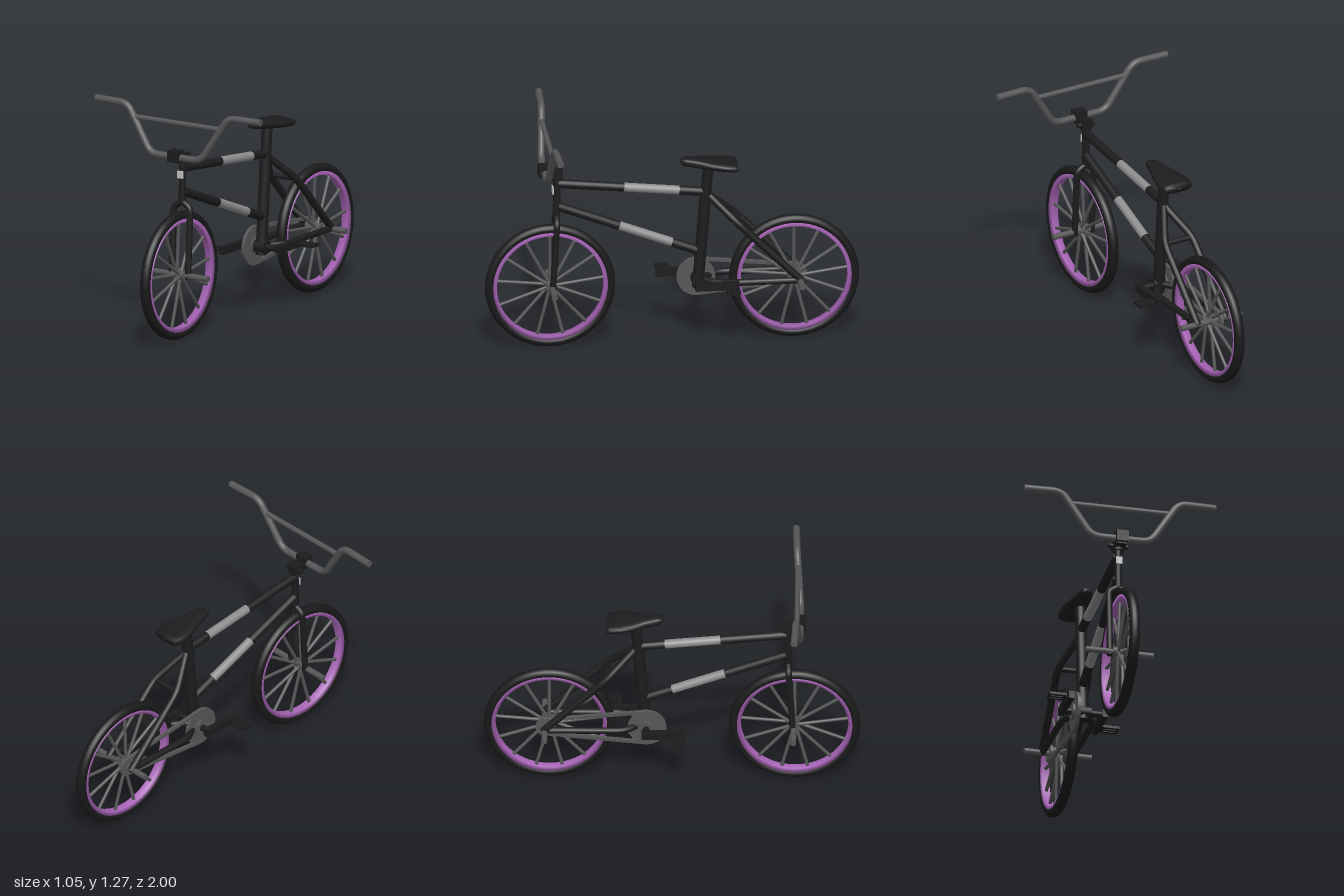
import * as THREE from 'three';
import { mergeGeometries } from 'three/addons/utils/BufferGeometryUtils.js';

const V = (x, y, z) => new THREE.Vector3(x, y, z);

export function createModel() {
  const mat = (name, color) => {
    const m = new THREE.MeshStandardMaterial({ color });
    m.name = name;
    return m;
  };
  const black = mat('blackPaint', 0x1c1c1c);
  const rubber = mat('tireRubber', 0x191919);
  const grey = mat('greyMetal', 0x565656);
  const silver = mat('silverPaint', 0x8c8c8c);
  const purple = mat('purpleRim', 0xa562b4);
  const badge = mat('paleBadge', 0xc4c4c4);

  const bike = new THREE.Group();
  bike.name = 'bicycle';

  const add = (name, geo, material, parent = bike) => {
    const m = new THREE.Mesh(geo, material);
    m.name = name;
    parent.add(m);
    return m;
  };
  const box = (name, w, h, d, x, y, z, material, parent) => {
    const m = add(name, new THREE.BoxGeometry(w, h, d), material, parent);
    m.position.set(x, y, z);
    return m;
  };
  // Straight capped rod between two points
  const rod = (name, a, b, r, material, parent, r2 = r) => {
    const m = add(name, new THREE.CylinderGeometry(r2, r, a.distanceTo(b), 16), material, parent);
    m.position.copy(a).lerp(b, 0.5);
    m.quaternion.setFromUnitVectors(V(0, 1, 0), b.clone().sub(a).normalize());
    return m;
  };
  // Capped tube along straight runs with rounded corners
  const bentTube = (name, pts, r, bend, material) => {
    const path = new THREE.CurvePath();
    let from = pts[0];
    for (let i = 1; i < pts.length - 1; i++) {
      const p = pts[i];
      const inPt = p.clone().add(pts[i - 1].clone().sub(p).setLength(bend));
      const outPt = p.clone().add(pts[i + 1].clone().sub(p).setLength(bend));
      path.add(new THREE.LineCurve3(from, inPt));
      path.add(new THREE.QuadraticBezierCurve3(inPt, p, outPt));
      from = outPt;
    }
    const last = pts[pts.length - 1];
    path.add(new THREE.LineCurve3(from, last));
    const cap = (at, inner) => {
      const o = new THREE.Object3D();
      o.position.copy(at);
      o.lookAt(at.clone().multiplyScalar(2).sub(inner));
      o.updateMatrix();
      return new THREE.CircleGeometry(r, 14).applyMatrix4(o.matrix);
    };
    const geo = mergeGeometries([
      new THREE.TubeGeometry(path, 90, r, 14),
      cap(pts[0], pts[1]), cap(last, pts[pts.length - 2]),
    ]);
    return add(name, geo, material);
  };

  // Wheels: tire, rim, spokes, hub, axle pegs
  const wheel = (name, z, axleZ) => {
    const g = new THREE.Group();
    g.name = name;
    g.position.set(0, 0.35, z);
    bike.add(g);
    const tire = add('tire', new THREE.TorusGeometry(0.321, 0.027, 16, 64), rubber, g);
    tire.rotation.y = Math.PI / 2;
    tire.scale.z = 1.06;
    const profile = [[0.286, -0.02], [0.307, -0.025], [0.307, 0.025], [0.286, 0.02], [0.286, -0.02]];
    const rim = add('rim', new THREE.LatheGeometry(profile.map(p => new THREE.Vector2(...p)), 64), purple, g);
    rim.rotation.z = Math.PI / 2;
    rim.material.side = THREE.DoubleSide;
    for (let i = 0; i < 13; i++) {
      const a = Math.PI / 2 + i * Math.PI * 2 / 13;
      const side = i % 2 ? 0.012 : -0.012;
      rod('spoke', V(side, 0, 0), V(0, Math.sin(a) * 0.29, Math.cos(a) * 0.29), 0.009, grey, g);
    }
    rod('hub', V(-0.04, 0, 0), V(0.04, 0, 0), 0.024, grey, g);
    rod('axlePegs', V(-0.185, 0, axleZ), V(0.185, 0, axleZ), 0.016, grey, g);
  };
  wheel('frontWheel', 0.652, -0.006);
  wheel('rearWheel', -0.652, -0.025);

  // Frame tubes, the two main ones with a silver middle section
  const stripedTube = (name, a, b, t0, t1, r) => {
    const p = a.clone().lerp(b, t0), q = a.clone().lerp(b, t1);
    rod(name + 'Front', a, p, r, black);
    rod(name + 'Middle', p, q, r, silver);
    rod(name + 'Rear', q, b, r, black);
  };
  stripedTube('topTube', V(0, 0.93, 0.61), V(0, 0.848, -0.19), 0.44, 0.81, 0.024);
  stripedTube('downTube', V(0, 0.80, 0.61), V(0, 0.51, -0.15), 0.43, 0.8, 0.024);
  rod('seatTube', V(0, 0.305, -0.137), V(0, 0.85, -0.181), 0.031, black);
  rod('seatPost', V(0, 0.84, -0.18), V(0, 1.0, -0.195), 0.029, black);
  rod('headTube', V(0, 0.74, 0.618), V(0, 0.97, 0.616), 0.02, black);
  box('headBadge', 0.034, 0.04, 0.008, 0, 0.895, 0.638, badge);

  // Fork, rear stays
  for (const s of [-1, 1]) {
    bentTube('forkLeg', [V(0, 0.745, 0.618), V(s * 0.052, 0.715, 0.62), V(s * 0.052, 0.33, 0.643)],
      0.017, 0.025, black);
    bentTube('seatStay', [V(0, 0.835, -0.19), V(s * 0.086, 0.69, -0.345), V(s * 0.086, 0.35, -0.685)],
      0.02, 0.05, black);
    bentTube('chainStay', [V(0, 0.353, -0.14), V(s * 0.084, 0.353, -0.25), V(s * 0.084, 0.353, -0.69)],
      0.018, 0.05, black);
  }
  rod('stayBrace', V(-0.08, 0.69, -0.345), V(0.08, 0.69, -0.345), 0.014, black);

  // Handlebar, crossbar and stem
  const half = [[0.525, 1.25, 0.655], [0.32, 1.25, 0.662], [0.16, 1.0, 0.682]];
  const barPts = [
    ...half.map(p => V(-p[0], p[1], p[2])),
    ...half.reverse().map(p => V(...p)),
  ];
  bentTube('handlebar', barPts, 0.019, 0.05, grey);
  rod('handlebarCrossbar', V(-0.273, 1.183, 0.667), V(0.273, 1.183, 0.667), 0.014, grey);
  box('stem', 0.06, 0.04, 0.11, 0, 0.99, 0.64, black);
  box('stemClamp', 0.066, 0.062, 0.06, 0, 1.008, 0.685, black);
  rod('stemCollar', V(0, 0.955, 0.616), V(0, 1.012, 0.616), 0.032, black);
  rod('stemBolts', V(-0.052, 0.985, 0.615), V(0.052, 0.985, 0.615), 0.014, black);

  // Saddle lofted from nose to tail: z, half width, top, bottom
  const sections = [
    [-0.045, 0.006, 1.032, 1.022], [-0.05, 0.026, 1.044, 1.01], [-0.075, 0.036, 1.05, 1.003],
    [-0.14, 0.052, 1.045, 0.993], [-0.21, 0.077, 1.036, 0.985], [-0.27, 0.089, 1.03, 0.978],
    [-0.325, 0.088, 1.025, 0.972], [-0.347, 0.08, 1.018, 0.974], [-0.352, 0.01, 1.0, 0.99],
  ];
  const N = 24, pos = [], idx = [];
  sections.forEach(([z, w, top, bottom], i) => {
    for (let k = 0; k < N; k++) {
      const a = k / N * Math.PI * 2, c = Math.cos(a), s = Math.sin(a);
      pos.push(w * Math.sign(c) * Math.abs(c) ** 0.75,
        (top + bottom) / 2 + (top - bottom) / 2 * Math.sign(s) * Math.abs(s) ** 0.75, z);
      if (i === sections.length - 1) continue;
      const p = i * N + k, q = i * N + (k + 1) % N;
      idx.push(p, p + N, q, q, p + N, q + N);
    }
  });
  const saddle = new THREE.BufferGeometry();
  saddle.setAttribute('position', new THREE.Float32BufferAttribute(pos, 3));
  saddle.setIndex(idx);
  saddle.computeVertexNormals();
  add('saddle', saddle, black);

  // Chainring, rear sprocket and chain on the right side
  const cz = -0.137, rz = -0.672, cy = 0.35;
  rod('chainring', V(-0.052, cy, cz), V(-0.038, cy, cz), 0.1, grey);
  rod('chainringBoss', V(-0.065, cy, cz), V(-0.03, cy, cz), 0.045, grey);
  rod('rearSprocket', V(-0.052, cy, rz), V(-0.038, cy, rz), 0.045, grey);
  const loop = (R, r) => {
    // Outline around both gears with tangent straight runs
    const t = Math.acos((R - r) / (cz - rz)), s = new THREE.Shape();
    s.absarc(cz, cy, R, -(Math.PI - t), Math.PI - t, false);
    s.absarc(rz, cy, r, Math.PI - t, Math.PI + t, false);
    s.closePath();
    return s;
  };
  const chainShape = loop(0.108, 0.053);
  chainShape.holes.push(loop(0.09, 0.035));
  const chain = add('chain', new THREE.ExtrudeGeometry(chainShape,
    { depth: 0.018, bevelEnabled: false, curveSegments: 32 }), grey);
  chain.rotation.y = -Math.PI / 2;
  chain.position.x = -0.036;

  // Cranks and pedals: right one forward, left one back
  rod('crankAxle', V(-0.13, cy, cz), V(0.13, cy, cz), 0.018, black);
  rod('bottomBracket', V(-0.04, cy, cz), V(0.04, cy, cz), 0.036, black);
  for (const s of [-1, 1]) {
    const pedalZ = cz - s * 0.17;
    box('crankArm', 0.032, 0.042, 0.235, s * 0.116, cy, cz - s * 0.093, black);
    rod('pedalSpindle', V(s * 0.12, cy, pedalZ), V(s * 0.235, cy, pedalZ), 0.009, black);
    box('pedalInnerPlate', 0.012, 0.014, 0.07, s * 0.146, cy, pedalZ, black);
    box('pedalOuterPlate', 0.012, 0.014, 0.07, s * 0.228, cy, pedalZ, black);
    for (const d of [-0.027, 0, 0.027]) {
      box('pedalBar', 0.094, 0.014, 0.019, s * 0.187, cy, pedalZ + d, black);
    }
  }
  return bike;
}
